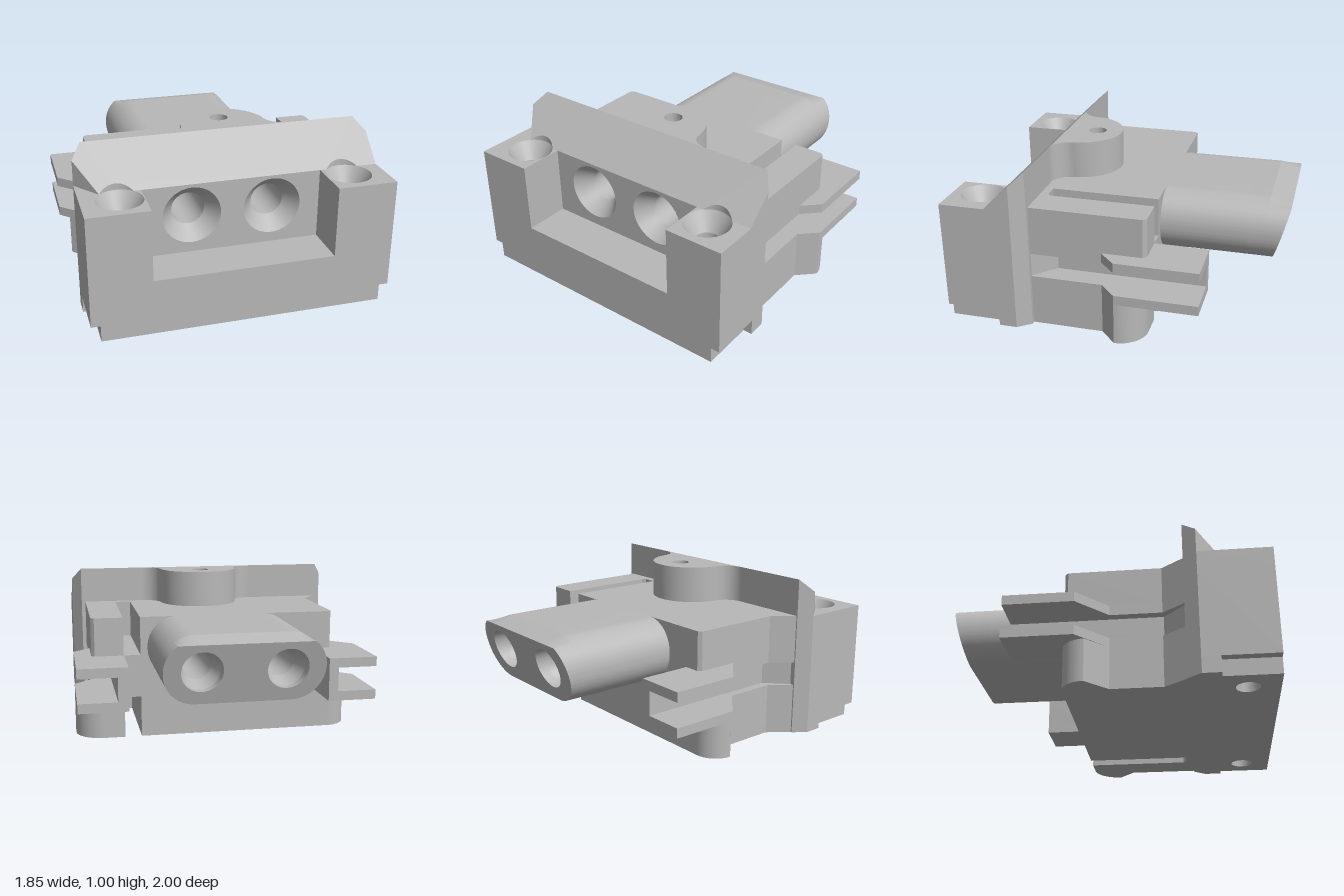
import * as THREE from 'three';
import { toCreasedNormals } from 'three/addons/utils/BufferGeometryUtils.js';

const grey = new THREE.MeshStandardMaterial({ color: 0xb8b8b8, side: THREE.DoubleSide });
grey.name = 'grey plastic';

export function createModel() {
  const model = new THREE.Group();
  model.name = 'connectorHousing';

  const add = (name, geometry) => {
    const mesh = new THREE.Mesh(geometry, grey);
    mesh.name = name;
    model.add(mesh);
    return mesh;
  };
  // Plan outline from [x, z] points; shapes use y = -z
  const plan = pts => new THREE.Shape(pts.map(([x, z]) => new THREE.Vector2(x, -z)));
  const drill = (shape, x, y, r) => {
    shape.holes.push(new THREE.Path().absarc(x, y, r, 0, Math.PI * 2, true));
    return shape;
  };
  const extrude = (shape, depth) =>
    new THREE.ExtrudeGeometry(shape, { depth, bevelEnabled: false, curveSegments: 20 });
  const creased = g => toCreasedNormals(g, 0.5);
  // Vertical extrusion between two heights
  const layer = (name, shape, y0, y1) =>
    add(name, creased(extrude(shape, y1 - y0).rotateX(-Math.PI / 2).translate(0, y0, 0)));
  // Extrusion along z
  const along = (name, shape, z0, z1) =>
    add(name, creased(extrude(shape, z1 - z0).translate(0, 0, z0)));

  const boreX = 0.245, boreY = 0.575;
  const bored = (shape, r) => {
    for (const s of [-1, 1]) drill(shape, s * boreX, boreY, r);
    return shape;
  };

  // Central core with two bores
  const core = () => new THREE.Shape([[-0.47, 0], [0.51, 0], [0.51, 0.77], [-0.47, 0.77]]
    .map(p => new THREE.Vector2(...p)));
  along('coreFront', bored(core(), 0.175), 0.62, 0.72);
  along('coreBody', bored(core(), 0.1), -0.23, 0.62);

  // Rounded rear nose
  const stadium = () => {
    const r = 0.19, x = 0.465, y0 = 0.38, y1 = 0.77;
    const s = new THREE.Shape();
    s.absarc(x - r, y0 + r, r, -Math.PI / 2, 0, false);
    s.absarc(x - r, y1 - r, r, 0, Math.PI / 2, false);
    s.absarc(r - x, y1 - r, r, Math.PI / 2, Math.PI, false);
    s.absarc(r - x, y0 + r, r, Math.PI, Math.PI * 1.5, false);
    return s;
  };
  along('nose', bored(stadium(), 0.086), -0.75, -0.23);
  along('noseMouth', bored(stadium(), 0.12), -0.87, -0.75);
  // Tip with a slanted end and a lowered top edge
  const tip = extrude(bored(stadium(), 0.12), 0.13).translate(0, 0, -1);
  const tp = tip.attributes.position;
  for (let i = 0; i < tp.count; i++) {
    if (tp.getZ(i) > -0.95) continue;
    const y = Math.min(tp.getY(i), 0.735);
    tp.setY(i, y);
    tp.setZ(i, -1 + (0.735 - y) * 0.28);
  }
  tip.computeVertexNormals();
  add('noseTip', creased(tip));

  // Conical lead-ins of the bores
  for (const s of [-1, 1]) {
    const front = new THREE.CylinderGeometry(0.175, 0.1, 0.1, 40, 1, true).rotateX(Math.PI / 2);
    add('frontCountersink', front).position.set(s * boreX, boreY, 0.67);
    const rear = new THREE.CylinderGeometry(0.086, 0.12, 0.12, 40, 1, true).rotateX(Math.PI / 2);
    add('rearCountersink', rear).position.set(s * boreX, boreY, -0.81);
  }

  // Front sill under the recess
  add('frontSill', new THREE.BoxGeometry(1.08, 0.34, 0.28)).position.set(0, 0.17, 0.86);

  // Front columns with countersunk screw holes
  const screwX = 0.68, screwZ = 0.815, screwR = 0.136;
  for (const s of [-1, 1]) {
    const column = (outer, r) => drill(
      plan([[0.47, 0.48], [0.84, 0.48], [0.9, 0.56], ...outer, [0.54, 1], [0.54, 0.72], [0.47, 0.72]]
        .map(([x, z]) => [s * x, z])), s * screwX, -screwZ, r);
    const full = [[0.9, 1]];
    layer('columnFoot', column([[0.9, 0.67], [0.845, 0.67], [0.845, 1]], 0.07), 0, 0.1);
    layer('column', column(full, 0.07), 0.1, 0.66);
    layer('columnTop', column(full, screwR), 0.66, 0.77);
    const cone = new THREE.CylinderGeometry(screwR, 0.07, 0.11, 40, 1, true);
    add('screwCountersink', cone).position.set(s * screwX, 0.715, screwZ);
  }

  // Sloped top wedge, notched around the screw heads
  const wedge = new THREE.Shape();
  const a = Math.asin((screwZ - 0.72) / screwR);
  wedge.moveTo(-0.9, -0.72);
  for (const s of [-1, 1]) wedge.absarc(s * screwX, -screwZ, screwR, Math.PI - a, a, true);
  for (const [x, z] of [[0.9, 0.72], [0.9, 0.56], [0.84, 0.48], [-0.84, 0.48], [-0.9, 0.56]]) wedge.lineTo(x, -z);
  const slope = extrude(wedge, 1).rotateX(-Math.PI / 2);
  const sp = slope.attributes.position;
  for (let i = 0; i < sp.count; i++) {
    const rise = Math.max(0, (0.72 - sp.getZ(i)) * 0.23 / 0.24);
    sp.setY(i, 0.77 + (sp.getY(i) > 0.5 ? rise : 0));
  }
  slope.computeVertexNormals();
  add('slopedTop', creased(slope));

  // Boss with a blind hole
  const boss = new THREE.Shape();
  boss.moveTo(-0.34, -0.48);
  boss.lineTo(0.42, -0.48);
  boss.absarc(0.42, -0.36, 0.12, -Math.PI / 2, -Math.PI, true);
  boss.absarc(0.04, -0.385, 0.26, 0, Math.PI, false);
  boss.absarc(-0.34, -0.36, 0.12, 0, -Math.PI / 2, true);
  layer('boss', drill(boss, 0.04, -0.285, 0.056), 0.77, 1);

  // Left flank: arm split from the core by a slot
  const slotEnd = [[0.5, 0.43], [0.5, 0.49]];
  const lowerLeft = plan([...slotEnd, [0.815, 0.49], [0.815, 0.04], [0.92, -0.06]]);
  lowerLeft.absarc(0.75, 0.06, 0.17, 0, Math.PI / 2, false);
  lowerLeft.lineTo(0.615, 0.23);
  lowerLeft.lineTo(0.615, -0.41);
  lowerLeft.lineTo(0.595, -0.43);
  layer('leftLowerArm', lowerLeft, 0, 0.26);
  const upperLeft = plan([...slotEnd, [0.815, 0.49], [0.815, -0.21], [0.795, -0.23],
    [0.615, -0.23], [0.615, 0.41], [0.595, 0.43]]);
  layer('leftUpperArm', upperLeft, 0.53, 0.77);
  const leftPlate = [[0.5, 0.49], [0.815, 0.49], [0.815, 0.04], [0.92, -0.06],
    [0.92, -0.56], [0.615, -0.56], [0.615, -0.23], [0.5, -0.23]];
  const leftWall = [[0.5, 0.49], [0.815, 0.49], [0.68, 0.355], [0.68, -0.56],
    [0.615, -0.56], [0.615, -0.23], [0.5, -0.23]];

  // Right flank
  const rightBack = [[-0.46, -0.23], [-0.46, 0.49], [-0.84, 0.49], [-0.735, 0.35]];
  const lowerRight = plan([...rightBack, [-0.735, 0.04], [-0.865, -0.09]]);
  lowerRight.absarc(-0.725, 0.09, 0.14, Math.PI, Math.PI / 2, true);
  layer('rightLowerFlank', lowerRight, 0, 0.26);
  layer('rightUpperFlank', plan([...rightBack, [-0.735, -0.21], [-0.715, -0.23]]), 0.53, 0.77);
  const rightPlate = [...rightBack, [-0.735, 0.04], [-0.925, -0.14], [-0.925, -0.56],
    [-0.62, -0.56], [-0.62, -0.23]];
  const rightWall = [[-0.46, -0.23], [-0.46, 0.49], [-0.82, 0.49], [-0.68, 0.355],
    [-0.68, -0.56], [-0.62, -0.56], [-0.62, -0.23]];

  // Side channels: two plates joined by an inner wall, open outward
  for (const [side, plate, wall] of [['left', leftPlate, leftWall], ['right', rightPlate, rightWall]]) {
    layer(side + 'ChannelLowerPlate', plan(plate), 0.26, 0.32);
    layer(side + 'ChannelWall', plan(wall), 0.32, 0.47);
    layer(side + 'ChannelUpperPlate', plan(plate), 0.47, 0.53);
  }
  return model;
}
